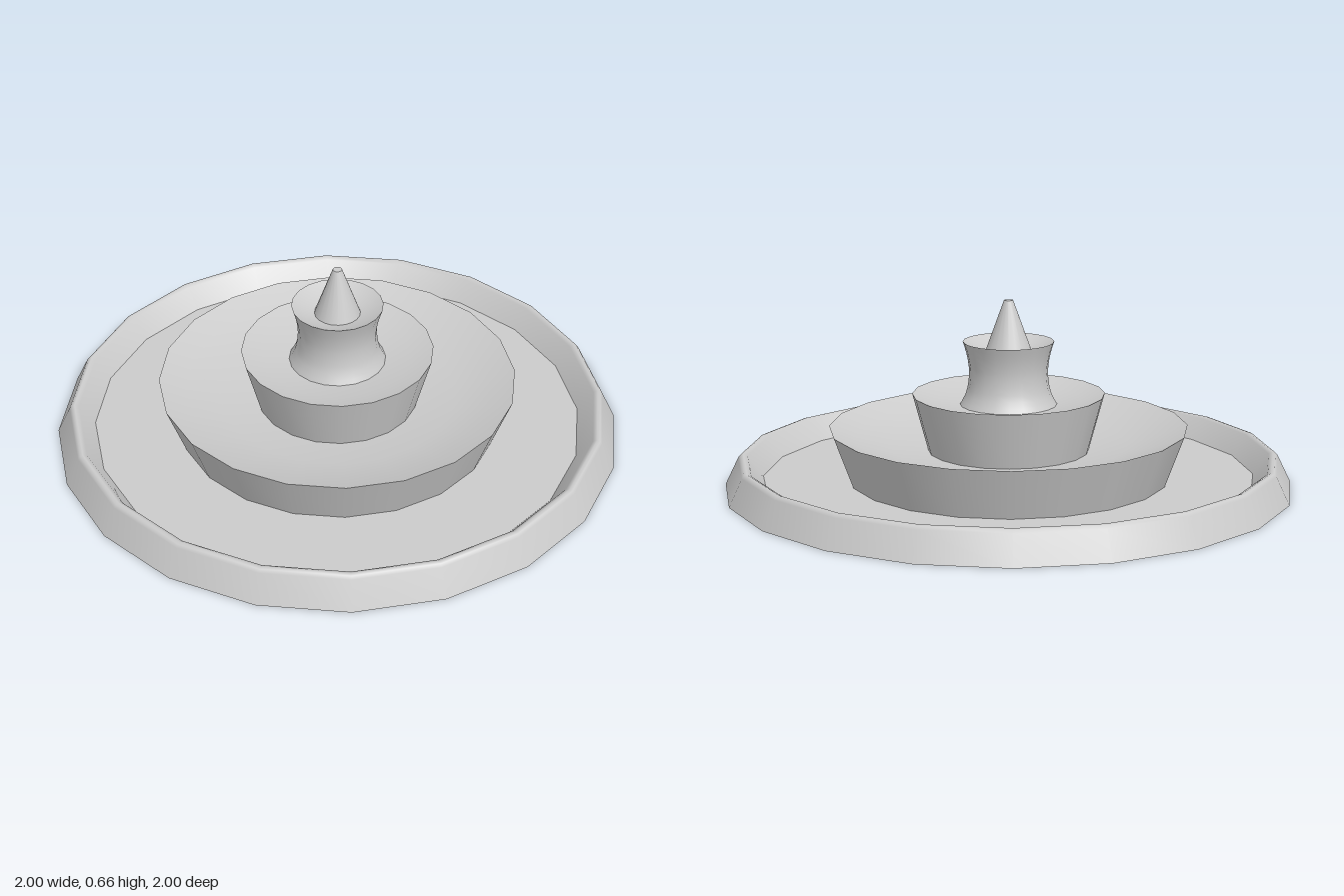
import * as THREE from 'three';

const SIDES = 20;
const material = new THREE.MeshStandardMaterial({ color: 0xcccccc, side: THREE.DoubleSide });

// Turned thin shell; each part runs from its outer or lower edge inward or upward
function turned(name, profile) {
  const points = profile.map(([r, y]) => new THREE.Vector2(r, y));
  const mesh = new THREE.Mesh(new THREE.LatheGeometry(points, SIDES), material);
  mesh.name = name;
  return mesh;
}

export function createModel() {
  const fountain = new THREE.Group();
  fountain.name = 'fountain';

  // Neck with a waisted outline
  const neckCurve = new THREE.SplineCurve([
    [0.17, 0.288], [0.147, 0.335], [0.138, 0.4], [0.145, 0.46], [0.16, 0.512],
  ].map(([r, y]) => new THREE.Vector2(r, y)));
  const neckProfile = neckCurve.getPoints(10).map((p) => [p.x, p.y]);

  fountain.add(
    // Ground basin, open underneath
    turned('basinRim', [[1, 0], [0.953, 0.097], [0.945, 0.107], [0.935, 0.11], [0.92, 0.103], [0.866, 0.03]]),
    turned('basinFloor', [[0.866, 0.03], [0.565, 0.03]]),
    // Lower bowl
    turned('lowerBowlWall', [[0.565, 0.03], [0.631, 0.21]]),
    turned('lowerBowlDish', [[0.631, 0.21], [0.54, 0.175], [0.42, 0.143], [0.284, 0.125]]),
    // Middle bowl
    turned('middleBowlWall', [[0.284, 0.125], [0.338, 0.326]]),
    turned('middleBowlDish', [[0.338, 0.326], [0.26, 0.302], [0.17, 0.288]]),
    // Upper cup and spout
    turned('neck', neckProfile),
    turned('cupDish', [[0.16, 0.512], [0.12, 0.492], [0.08, 0.48]]),
    turned('spout', [[0.08, 0.48], [0.016, 0.657]]),
    turned('spoutTip', [[0.016, 0.657], [0, 0.657]]),
  );
  return fountain;
}
